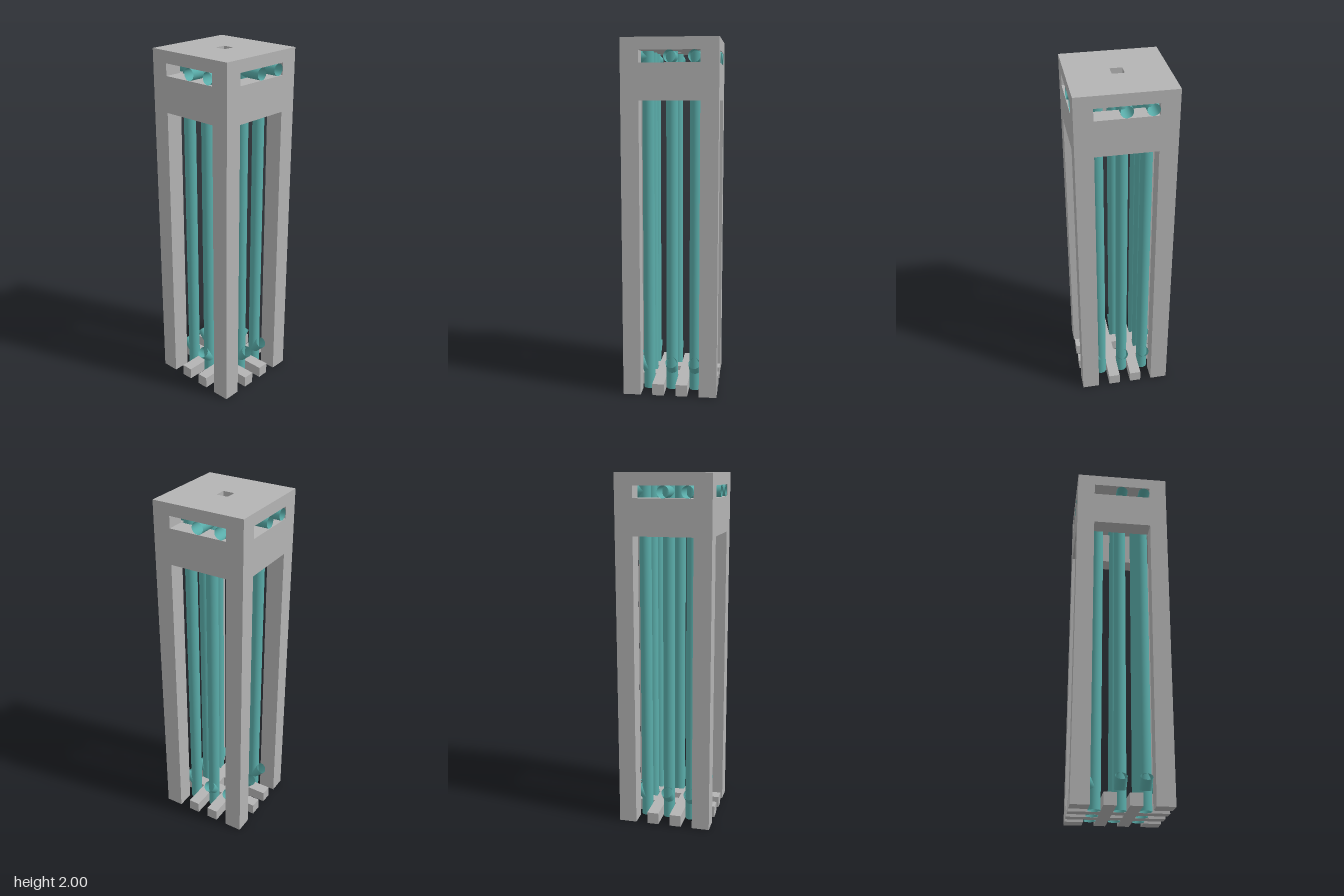
import * as THREE from 'three';

const concrete = new THREE.MeshStandardMaterial({ color: 0xb4b4b4 });
concrete.name = 'grey frame';
const teal = new THREE.MeshStandardMaterial({ color: 0x5aadaa, side: THREE.DoubleSide });
teal.name = 'teal pipe';

const HALF = 0.2667, INNER = 0.1667, BAR_IN = 0.0333, BAR_OUT = 0.1;
const WALL = HALF - INNER, MID = (HALF + INNER) / 2;
const PIPE_R = 0.0333, PIPE_POS = 0.1333;

function box(name, w, d, y0, y1, x, z) {
  const mesh = new THREE.Mesh(new THREE.BoxGeometry(w, y1 - y0, d), concrete);
  mesh.name = name;
  mesh.position.set(x, (y0 + y1) / 2, z);
  return mesh;
}

// Open-ended round pipe between two points
function pipe(name, from, to) {
  const a = new THREE.Vector3(...from), b = new THREE.Vector3(...to);
  const dir = b.clone().sub(a);
  const geo = new THREE.CylinderGeometry(PIPE_R, PIPE_R, dir.length(), 32, 1, true);
  const mesh = new THREE.Mesh(geo, teal);
  mesh.name = name;
  mesh.position.copy(a).add(b).multiplyScalar(0.5);
  mesh.quaternion.setFromUnitVectors(new THREE.Vector3(0, 1, 0), dir.normalize());
  return mesh;
}

const square = (h) => [[-h, -h], [h, -h], [h, h], [-h, h]].map(([x, y]) => new THREE.Vector2(x, y));

// Flat slab with a square hole in the middle
function slab(name, points, y, height) {
  const shape = new THREE.Shape(points);
  shape.holes.push(new THREE.Path(square(BAR_IN).reverse()));
  const geo = new THREE.ExtrudeGeometry(shape, { depth: height, bevelEnabled: false });
  geo.rotateX(-Math.PI / 2);
  const mesh = new THREE.Mesh(geo, concrete);
  mesh.name = name;
  mesh.position.y = y;
  return mesh;
}

// Outline of two crossing pairs of bars, one quarter turned four times
function latticeOutline() {
  const quarter = [
    [BAR_OUT, -BAR_OUT], [HALF, -BAR_OUT], [HALF, -BAR_IN],
    [BAR_OUT, -BAR_IN], [BAR_OUT, BAR_IN], [HALF, BAR_IN], [HALF, BAR_OUT],
  ];
  const points = [];
  for (let k = 0; k < 4; k++) {
    for (const [x, y] of quarter) {
      points.push(new THREE.Vector2(x, y).rotateAround(new THREE.Vector2(), k * Math.PI / 2));
    }
  }
  return points;
}

export function createModel() {
  const model = new THREE.Group();
  model.name = 'pipeTower';

  model.add(slab('baseLattice', latticeOutline(), 0, 0.0667));
  model.add(slab('roofPlate', square(HALF), 1.9333, 0.0667));

  // Each side has a post, a wall band and two pipes; turned four times
  for (let k = 0; k < 4; k++) {
    const side = new THREE.Group();
    side.name = 'side' + (k + 1);
    side.rotation.y = k * Math.PI / 2;
    side.add(box('cornerPost', WALL, WALL, 0, 1.9333, MID, MID));
    side.add(box('wallBand', INNER * 2, WALL, 1.6667, 1.8667, 0, MID));

    for (const x of [0, PIPE_POS]) {
      const run = new THREE.Group();
      run.name = x ? 'cornerPipe' : 'middlePipe';
      run.add(pipe('riser', [x, 0, PIPE_POS], [x, 1.932, PIPE_POS]));
      run.add(pipe('topOutlet', [x, 1.9, PIPE_POS], [x, 1.9, 0.265]));
      run.add(pipe('lowerInlet', [x, 0.113, PIPE_POS], [x, 0.17, 0.19]));
      side.add(run);
    }
    model.add(side);
  }
  return model;
}
